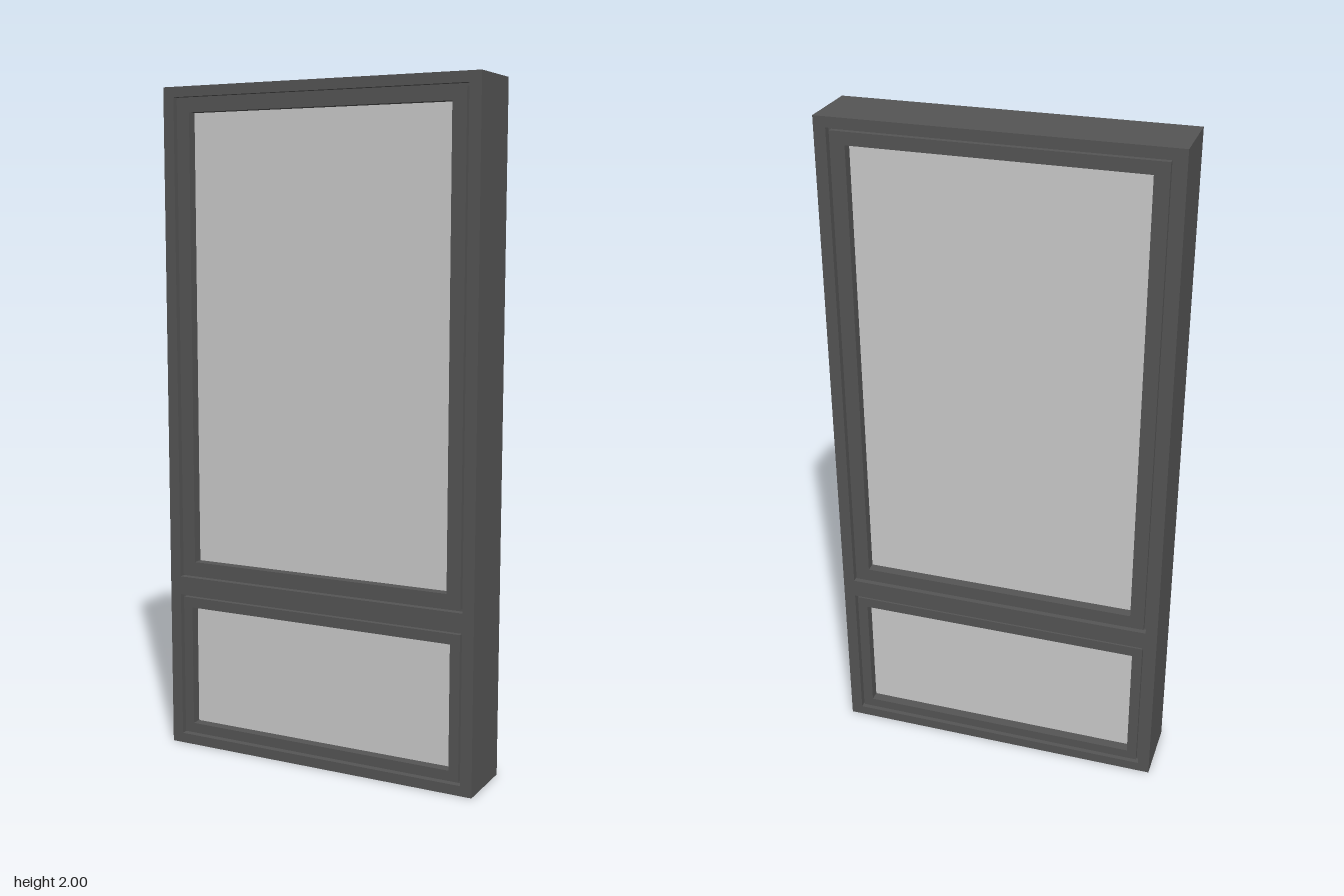
import * as THREE from 'three';

const frameMat = new THREE.MeshStandardMaterial({ color: 0x555555 });
const glassMat = new THREE.MeshStandardMaterial({ color: 0xcccccc });

// Rectangle outline [left, bottom, right, top], shrunk by an inset
function trace(path, [l, b, r, t], inset = 0) {
  path.moveTo(l + inset, b + inset);
  path.lineTo(r - inset, b + inset);
  path.lineTo(r - inset, t - inset);
  path.lineTo(l + inset, t - inset);
  path.closePath();
  return path;
}

// Rectangular plate with rectangular openings, centred on z = 0
function plate(name, outer, holes, depth) {
  const shape = trace(new THREE.Shape(), outer);
  holes.forEach((h) => shape.holes.push(trace(new THREE.Path(), h)));
  const geo = new THREE.ExtrudeGeometry(shape, { depth, bevelEnabled: false });
  geo.translate(0, 0, -depth / 2);
  const mesh = new THREE.Mesh(geo, frameMat);
  mesh.name = name;
  return mesh;
}

const shrink = ([l, b, r, t], d) => [l + d, b + d, r - d, t - d];

export function createModel() {
  const model = new THREE.Group();
  model.name = 'window';

  const lights = [
    { name: 'upper', opening: [-0.465, 0.531, 0.465, 1.97], pane: [-0.415, 0.58, 0.415, 1.925] },
    { name: 'lower', opening: [-0.465, 0.03, 0.465, 0.475], pane: [-0.427, 0.067, 0.427, 0.436] },
  ];

  // Outer frame with the cross rail between the two lights
  model.add(plate('outerFrame', [-0.5, 0, 0.5, 2], lights.map((l) => l.opening), 0.2));

  for (const { name, opening, pane } of lights) {
    const group = new THREE.Group();
    group.name = name + 'Light';

    // Sash set just inside the frame, leaving a narrow shadow groove
    const sashOuter = shrink(opening, 0.008);
    group.add(plate('sash', sashOuter, [pane], 0.19));

    // Seal closing the groove at its bottom
    group.add(plate('seal', opening, [sashOuter], 0.16));

    // Recessed pane
    const [l, b, r, t] = pane;
    const glass = new THREE.Mesh(new THREE.BoxGeometry(r - l, t - b, 0.13), glassMat);
    glass.position.set((l + r) / 2, (b + t) / 2, 0);
    glass.name = 'glassPane';
    group.add(glass);

    model.add(group);
  }
  return model;
}
